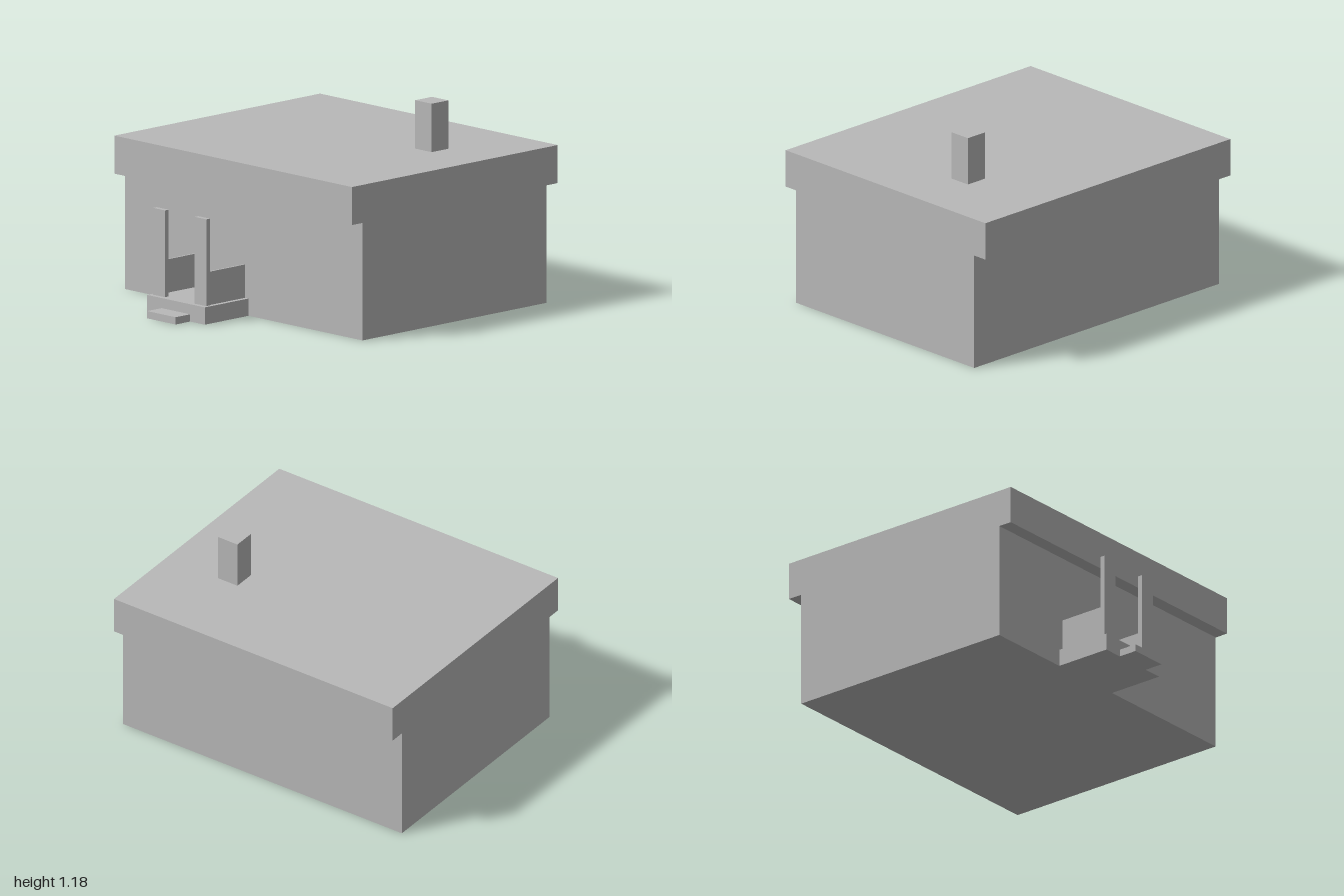
import * as THREE from 'three';

export function createModel() {
  const model = new THREE.Group();
  model.name = 'house';
  const plaster = new THREE.MeshStandardMaterial({ color: 0xb8b8b8 });
  plaster.name = 'plain grey';

  // Box given by its lower and upper limits on each axis
  const block = (name, [x0, x1], [y0, y1], [z0, z1], parent = model) => {
    const mesh = new THREE.Mesh(new THREE.BoxGeometry(x1 - x0, y1 - y0, z1 - z0), plaster);
    mesh.position.set((x0 + x1) / 2, (y0 + y1) / 2, (z0 + z1) / 2);
    mesh.name = name;
    parent.add(mesh);
  };

  // Main volume, overhanging flat roof and chimney
  block('walls', [-0.965, 0.965], [0, 0.68], [-0.91, 0.54]);
  block('roof', [-0.965, 0.965], [0.68, 0.9], [-1, 0.623]);
  block('chimney', [0.472, 0.605], [0.9, 1.18], [-0.487, -0.355]);

  // Porch: deck, entry step, and a mirrored post and side panel
  const porch = new THREE.Group();
  porch.name = 'porch';
  porch.position.x = -0.195;
  model.add(porch);
  block('deck', [-0.235, 0.235], [0, 0.1], [0.54, 0.885], porch);
  block('step', [-0.116, 0.116], [0, 0.042], [0.885, 1], porch);
  for (const [side, s] of [['left', 1], ['right', -1]]) {
    const span = (a, b) => (s > 0 ? [a, b] : [-b, -a]);
    block(side + 'Post', span(0.12, 0.216), [0.1, 0.602], [0.825, 0.855], porch);
    block(side + 'Panel', span(0.196, 0.208), [0.1, 0.293], [0.54, 0.825], porch);
  }

  return model;
}
